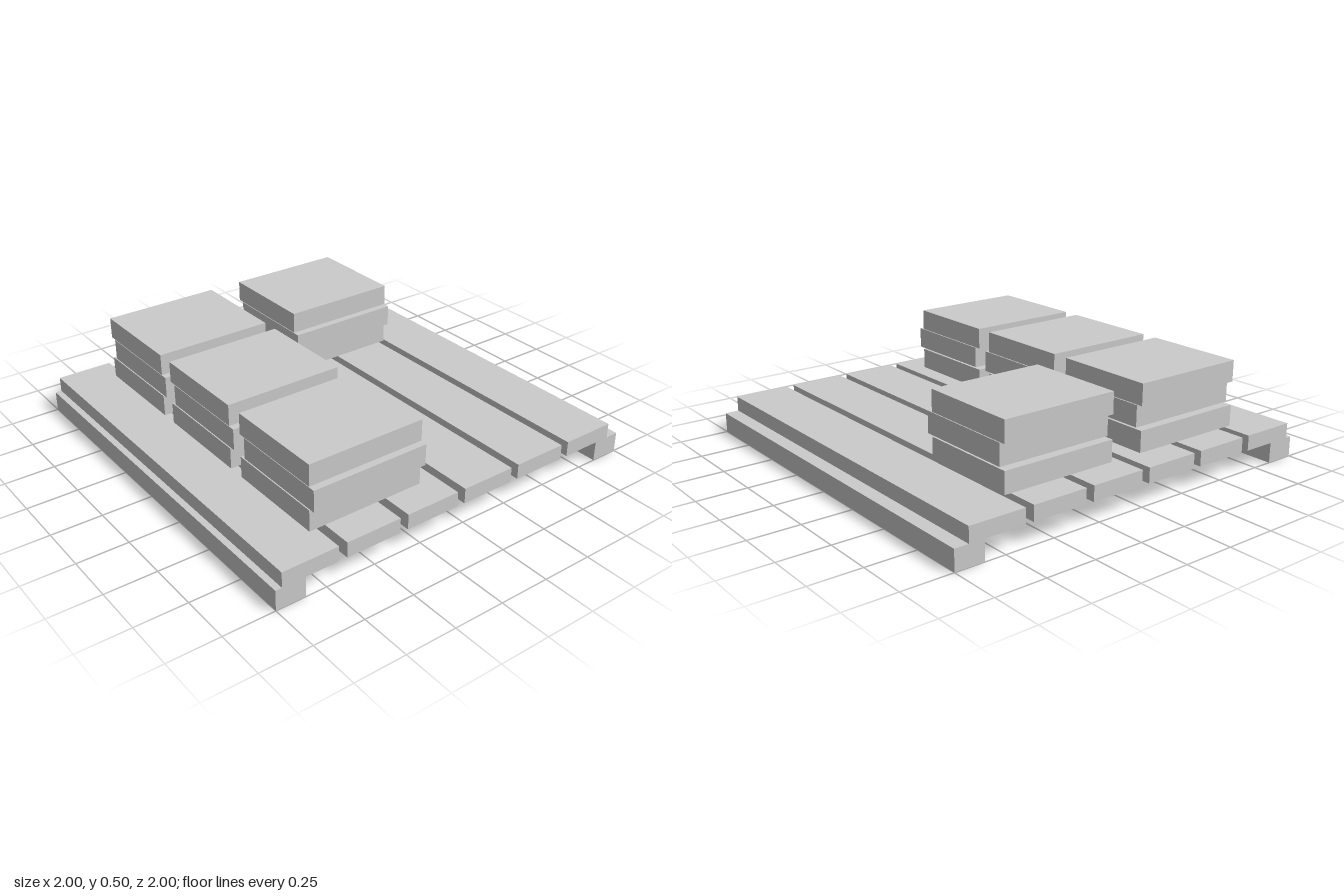
import * as THREE from 'three';

export function createModel() {
  const model = new THREE.Group();
  const material = new THREE.MeshStandardMaterial({ color: 0xcccccc, flatShading: true });

  // Box placed by its centre in x and z and by its underside in y
  function addBox(parent, name, [w, h, d], [x, bottom, z]) {
    const mesh = new THREE.Mesh(new THREE.BoxGeometry(w, h, d), material);
    mesh.name = name;
    mesh.position.set(x, bottom + h / 2, z);
    parent.add(mesh);
  }

  // Two support rails on the ground
  const railHeight = 0.1;
  const railDepth = 0.147;
  for (const [name, side] of [['frontRail', 1], ['backRail', -1]]) {
    addBox(model, name, [2, railHeight, railDepth], [0, 0, side * (1 - railDepth / 2)]);
  }

  // Six deck planks with narrow gaps
  const plankHeight = 0.075;
  const deckTop = railHeight + plankHeight;
  for (let i = 0; i < 6; i++) {
    addBox(model, `plank${i + 1}`, [2, plankHeight, 0.281], [0, railHeight, 0.828 - i * 0.3236]);
  }

  // Stacks of three blocks, the middle one shifted sideways
  const layers = [[0, 0], [0.032, 0.112], [0, 0.22]];
  const stacks = [[-0.596, 0.427], [-0.002, 0.427], [0.593, 0.427], [-0.596, -0.342]];
  stacks.forEach(([x, z], i) => {
    const stack = new THREE.Group();
    stack.name = `blockStack${i + 1}`;
    stack.position.set(x, deckTop, z);
    layers.forEach(([shift, bottom], j) => {
      addBox(stack, `block${j + 1}`, [0.51, 0.105, 0.595], [shift, bottom, 0]);
    });
    model.add(stack);
  });

  return model;
}
